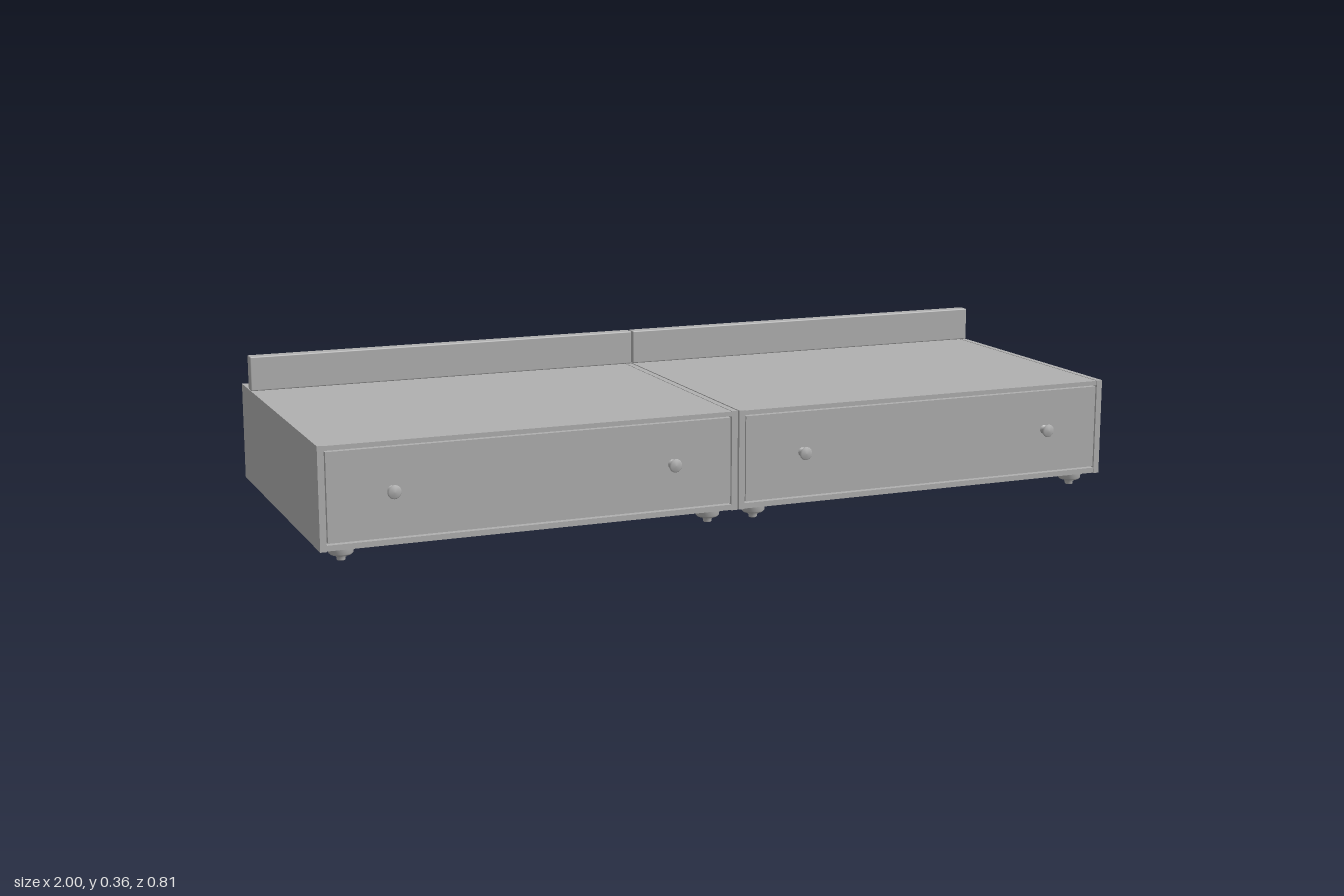
import * as THREE from 'three';
import { RoundedBoxGeometry } from 'three/addons/geometries/RoundedBoxGeometry.js';

export function createModel() {
  const model = new THREE.Group();
  model.name = 'twinDrawerCabinet';
  const grey = new THREE.MeshStandardMaterial({ color: 0xb0b0b0 });
  grey.name = 'grey';

  const add = (parent, name, geometry, x = 0, y = 0, z = 0) => {
    const mesh = new THREE.Mesh(geometry, grey);
    mesh.name = name;
    mesh.position.set(x, y, z);
    parent.add(mesh);
    return mesh;
  };
  // Box given by its limits on each axis
  const slab = (parent, name, x0, x1, y0, y1, z0, z1) => add(parent, name,
    new THREE.BoxGeometry(x1 - x0, y1 - y0, z1 - z0),
    (x0 + x1) / 2, (y0 + y1) / 2, (z0 + z1) / 2);
  const lathe = (points) => new THREE.LatheGeometry(
    points.map(([r, y]) => new THREE.Vector2(r, y)), 24);

  // Profiles: levelling foot and drawer knob
  const footShape = lathe([[0, 0], [0.009, 0], [0.010, 0.002], [0.010, 0.008], [0.012, 0.008],
    [0.012, 0.014], [0.024, 0.014], [0.028, 0.018], [0.029, 0.033]]);
  const knobShape = lathe([[0.011, 0], [0.007, 0.003], [0.006, 0.010], [0.008, 0.013],
    [0.015, 0.018], [0.016, 0.020], [0.013, 0.024], [0, 0.025]]);

  const bottom = 0.033, top = 0.271, back = -0.405, front = 0.38;
  const w = 0.499, t = 0.015;

  for (const side of [-1, 1]) {
    const unit = new THREE.Group();
    unit.name = side > 0 ? 'leftUnit' : 'rightUnit';
    unit.position.x = side * 0.501;
    model.add(unit);

    // Carcass
    for (const s of [-1, 1]) {
      add(unit, 'sidePanel', new THREE.BoxGeometry(t, top - bottom, front - back),
        s * (w - t / 2), (top + bottom) / 2, (front + back) / 2);
    }
    slab(unit, 'topPanel', -w + t, w - t, top - 0.012, top - 0.001, back, front - 0.001);
    slab(unit, 'bottomPanel', -w + t, w - t, bottom + 0.001, bottom + 0.014, back, front - 0.001);
    slab(unit, 'backPanel', -w + t, w - t, bottom + 0.014, top - 0.012, back + 0.012, back + 0.02);

    // Drawer front set in the frame with a narrow shadow gap
    slab(unit, 'drawerFront', -w + t + 0.003, w - t - 0.003, 0.051, 0.256, front - 0.018, front - 0.001);
    slab(unit, 'drawerBacking', -w + t, w - t, 0.047, 0.259, front - 0.026, front - 0.018);

    // Raised rail towards the back of the top
    add(unit, 'rail', new RoundedBoxGeometry(2 * w, 0.085, 0.031, 2, 0.003), 0, 0.3135, -0.31);

    // Knobs
    for (const x of [-0.334, 0.334]) {
      add(unit, 'knob', knobShape, x, 0.158, front - 0.001).rotation.x = Math.PI / 2;
    }

    // Feet
    for (const x of [-0.442, 0.442]) {
      for (const z of [-0.341, 0.334]) add(unit, 'foot', footShape, x, 0, z);
    }
  }
  return model;
}
